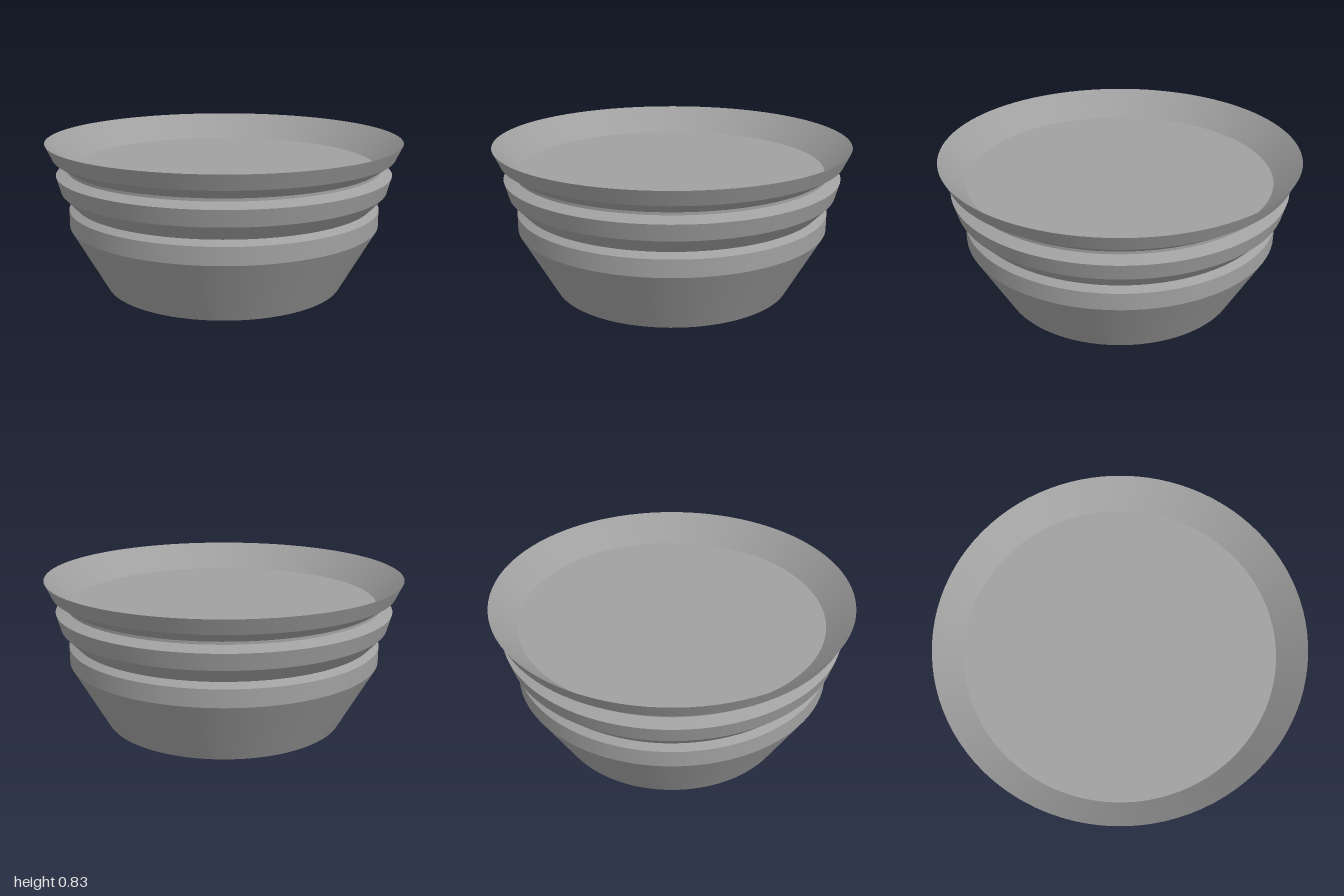
import * as THREE from 'three';

const SEGMENTS = 96;

export function createModel() {
  const grey = new THREE.MeshStandardMaterial({ color: 0xa0a0a0 });
  grey.name = 'grey';
  const model = new THREE.Group();
  model.name = 'bowl';

  // Each consecutive pair of points becomes its own band, so edges between bands stay sharp
  const addPart = (name, points) => {
    const part = new THREE.Group();
    part.name = name;
    for (let i = 0; i < points.length - 1; i++) {
      const pair = [points[i], points[i + 1]].map(([r, y]) => new THREE.Vector2(r, y));
      const band = new THREE.Mesh(new THREE.LatheGeometry(pair, SEGMENTS), grey);
      band.name = `${name}Band${i + 1}`;
      part.add(band);
    }
    model.add(part);
  };

  // Profiles run up the outside, over the rim and in to the recessed floor
  addPart('base', [[0, 0], [0.68, 0], [0.88, 0.36], [0.88, 0.456], [0.845, 0.482]]);
  addPart('middleRing', [[0.845, 0.482], [0.92, 0.563], [0.945, 0.655], [0.882, 0.68]]);
  addPart('neck', [[0.882, 0.68], [0.882, 0.695]]);
  addPart('rim', [[0.882, 0.695], [0.96, 0.75], [1, 0.835]]);
  addPart('recess', [[1, 0.835], [0.855, 0.69], [0, 0.69]]);

  return model;
}
